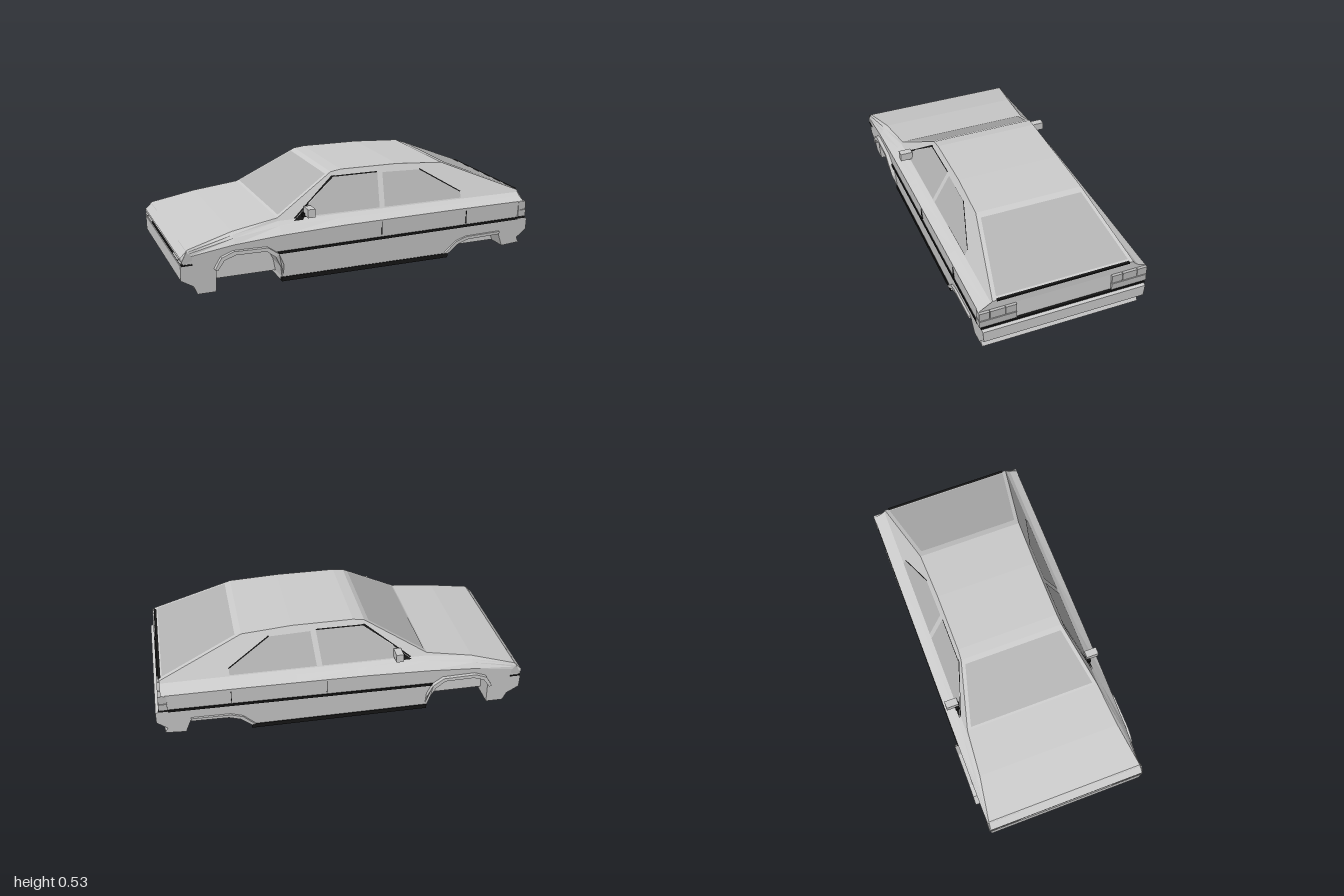
import * as THREE from 'three';

const mat = (color) => new THREE.MeshStandardMaterial({ color, flatShading: true, side: THREE.DoubleSide });
const paint = mat(0xcccccc), glass = mat(0xb4b4b4), black = mat(0x151515), lamp = mat(0xbababa);

// Half width of the lower body at height y, and of the cabin side at height y
const bodyZ = (y) => 0.432 + 0.08 * y;
const cabinZ = (y) => 0.388 - 0.476 * (y - 0.325);

export function createModel() {
  const car = new THREE.Group();

  const add = (name, geo, material = paint) => {
    const m = new THREE.Mesh(geo, material);
    m.name = name;
    car.add(m);
    return m;
  };
  const box = (name, x0, x1, y0, y1, z0, z1, material) => {
    const m = add(name, new THREE.BoxGeometry(x1 - x0, y1 - y0, Math.abs(z1 - z0)), material);
    m.position.set((x0 + x1) / 2, (y0 + y1) / 2, (z0 + z1) / 2);
    return m;
  };
  // Flat convex panel through a ring of points
  const panel = (name, pts, material) => {
    const pos = [];
    for (let i = 1; i < pts.length - 1; i++) pos.push(...pts[0], ...pts[i], ...pts[i + 1]);
    const g = new THREE.BufferGeometry();
    g.setAttribute('position', new THREE.Float32BufferAttribute(pos, 3));
    g.computeVertexNormals();
    return add(name, g, material);
  };
  // Side outline spanning the full width, each vertex pushed out to halfWidth(y)
  const slab = (name, outline, halfWidth, material) => {
    const shape = new THREE.Shape(outline.map(([x, y]) => new THREE.Vector2(x, y)));
    const g = new THREE.ExtrudeGeometry(shape, { depth: 1, bevelEnabled: false });
    const p = g.attributes.position;
    for (let i = 0; i < p.count; i++) p.setZ(i, (p.getZ(i) > 0.5 ? 1 : -1) * halfWidth(p.getY(i)));
    g.computeVertexNormals();
    return add(name, g, material);
  };

  // Upper body stations: x, crease y, shoulder z y, belt z y, top edge z y
  const stations = [
    [-1.0, 0.2, 0.447, 0.203, 0.446, 0.206, 0.443, 0.21],
    [-0.96, 0.215, 0.447, 0.23, 0.445, 0.24, 0.44, 0.25],
    [-0.72, 0.25, 0.432, 0.277, 0.42, 0.291, 0.402, 0.305],
    [-0.47, 0.268, 0.41, 0.305, 0.388, 0.325, cabinZ(0.34), 0.34],
    [-0.14, 0.28, 0.41, 0.308, 0.388, 0.325, cabinZ(0.53), 0.53],
    [-0.08, 0.281, 0.41, 0.308, 0.388, 0.325, cabinZ(0.538), 0.538],
    [0.25, 0.285, 0.41, 0.308, 0.388, 0.325, cabinZ(0.537), 0.537],
    [0.52, 0.288, 0.41, 0.308, 0.388, 0.325, cabinZ(0.52), 0.52],
    [0.965, 0.29, 0.41, 0.308, 0.388, 0.325, cabinZ(0.337), 0.337],
  ];

  // Lower body: nose, tail and both wheel openings in one outline
  const frontArch = [[-0.47, 0.035], [-0.482, 0.1], [-0.51, 0.16], [-0.56, 0.198],
    [-0.72, 0.2], [-0.78, 0.18], [-0.815, 0.13]];
  const rearArch = [[0.82, 0.11], [0.62, 0.105], [0.56, 0.085], [0.5, 0.035]];
  slab('lowerBody', [
    ...stations.map((s) => [s[0], s[1]]),
    [0.97, 0.19], [1.0, 0.18], [1.0, 0.115], [0.945, 0.07], [0.96, 0.04], [0.85, 0.032],
    ...rearArch, [0.5, 0.012], [-0.47, 0.012], ...frontArch,
    [-0.82, 0.004], [-0.915, 0.004], [-0.935, 0.05], [-1.0, 0.09], [-1.0, 0.17], [-0.985, 0.175],
  ], bodyZ);

  // Upper body skin: hood, shoulders, cabin and roof
  const rings = stations.map(([x, cy, sz, sy, bz, by, tz, ty]) => {
    const half = [[x, cy, bodyZ(cy)], [x, sy, sz], [x, by, bz], [x, ty, tz]];
    return [...half, ...half.map(([a, b, c]) => [a, b, -c]).reverse()];
  });
  const skin = [];
  for (let i = 0; i < rings.length - 1; i++)
    for (let j = 0; j < 7; j++) {
      const [a, b, c, d] = [rings[i][j], rings[i + 1][j], rings[i + 1][j + 1], rings[i][j + 1]];
      skin.push(...a, ...b, ...c, ...a, ...c, ...d);
    }
  const skinGeo = new THREE.BufferGeometry();
  skinGeo.setAttribute('position', new THREE.Float32BufferAttribute(skin, 3));
  skinGeo.computeVertexNormals();
  add('upperBody', skinGeo);
  panel('tailPanel', rings[rings.length - 1]);

  // Windscreen and rear window, set just proud of the skin
  const endGlass = (name, xLow, yLow, xTop, yTop, lift) => {
    const zl = cabinZ(yLow) - 0.02, zt = cabinZ(yTop) - 0.02;
    panel(name, [[xLow + lift, yLow, zl], [xLow + lift, yLow, -zl], [xTop + lift, yTop, -zt], [xTop + lift, yTop, zt]], glass);
  };
  endGlass('windscreen', -0.454, 0.349, -0.16, 0.518, -0.006);
  endGlass('rearWindow', 0.94, 0.347, 0.545, 0.51, 0.008);
  box('rearWindowSeal', 0.955, 0.97, 0.333, 0.341, -0.36, 0.36, black);

  // Wheel arch lips, swept across the car so they also line the wells
  const lip = (name, inner, outer, halfWidth) => slab(name, [...inner, ...outer.slice().reverse()], halfWidth);
  lip('frontArchLip', frontArch,
    [[-0.462, 0.05], [-0.465, 0.11], [-0.492, 0.175], [-0.55, 0.216], [-0.73, 0.22], [-0.795, 0.195], [-0.83, 0.135]],
    (y) => 0.44 + 0.03 * Math.min(1, Math.max(0, (y - 0.05) / 0.08)));
  lip('rearArchLip', rearArch, [[0.82, 0.126], [0.61, 0.122], [0.545, 0.1], [0.48, 0.038]],
    (y) => bodyZ(y) + 0.012);

  // Underbody between the wheels
  box('underbody', -0.86, 0.88, 0.035, 0.26, -0.33, 0.33);
  box('floorOpening', -0.28, -0.15, 0.009, 0.013, -0.42, -0.22, black);

  // Rubbing strip round the flanks and tail
  const strip = box('rubbingStrip', -0.495, 0.935, 0.175, 0.188, -0.453, 0.453, black);
  strip.rotation.z = 0.011;
  box('tailStrip', 0.93, 0.984, 0.186, 0.196, -0.45, 0.45, black);
  box('noseStrip', -0.996, -0.94, 0.168, 0.175, -0.45, 0.45, black);

  for (const s of [1, -1]) {
    // Side windows and their black door pillars
    const side = (name, pts, material, lift) =>
      panel(name, pts.map(([x, y]) => [x, y, s * (cabinZ(y) + lift)]), material);
    side('frontSideWindow', [[-0.37, 0.332], [0.105, 0.332], [0.125, 0.505], [-0.13, 0.505]], glass, 0.004);
    side('rearSideWindow', [[0.135, 0.332], [0.6, 0.332], [0.6, 0.362], [0.375, 0.497], [0.155, 0.503]], glass, 0.004);
    side('windowSeal', [[-0.385, 0.328], [-0.29, 0.328], [-0.29, 0.4], [-0.12, 0.512], [-0.14, 0.512]], black, 0.002);
    side('topSeal', [[-0.13, 0.505], [0.125, 0.505], [0.125, 0.511], [-0.13, 0.511]], black, 0.004);
    side('rearSeal', [[0.375, 0.497], [0.6, 0.362], [0.605, 0.366], [0.378, 0.503]], black, 0.004);

    // Door shut lines
    for (const x of [0.09, 0.6])
      box('doorGap', x, x + 0.003, 0.2, 0.275, s * 0.44, s * 0.4555, black);

    // Sill
    box('sill', -0.47, 0.5, 0.01, 0.034, s * 0.41, s * 0.439, black);

    // Door mirror with stalk and corner plate
    box('mirrorHousing', -0.325, -0.285, 0.34, 0.385, s * 0.378, s * 0.447);
    box('mirrorStalk', -0.34, -0.3, 0.335, 0.352, s * 0.36, s * 0.4, black);
    side('mirrorPlate', [[-0.385, 0.318], [-0.335, 0.318], [-0.3, 0.36], [-0.31, 0.375]], black, 0.006);

    // Tail lamps: a tall lower block and three cells above
    box('tailLampLower', 0.935, 0.982, 0.2, 0.238, s * 0.26, s * 0.457, lamp);
    [[0.26, 0.318], [0.321, 0.4], [0.403, 0.457]].forEach(([a, b]) =>
      box('tailLampCell', 0.935, 0.98, 0.242, 0.288, s * a, s * b, lamp));

    // Headlamp and corner indicator, sloped with the nose
    [[0.27, 0.385], [0.39, 0.451]].forEach(([a, b]) => {
      const z0 = s * a, z1 = s * b;
      panel('headlamp', [[-1.0, 0.18, z0], [-1.0, 0.18, z1], [-0.966, 0.245, z1], [-0.966, 0.245, z0]], lamp);
    });
    panel('indicatorSide', [[-1.0, 0.18, s * 0.451], [-0.94, 0.195, s * 0.452], [-0.94, 0.215, s * 0.452],
      [-0.966, 0.24, s * 0.451]], lamp);
  }
  return car;
}
